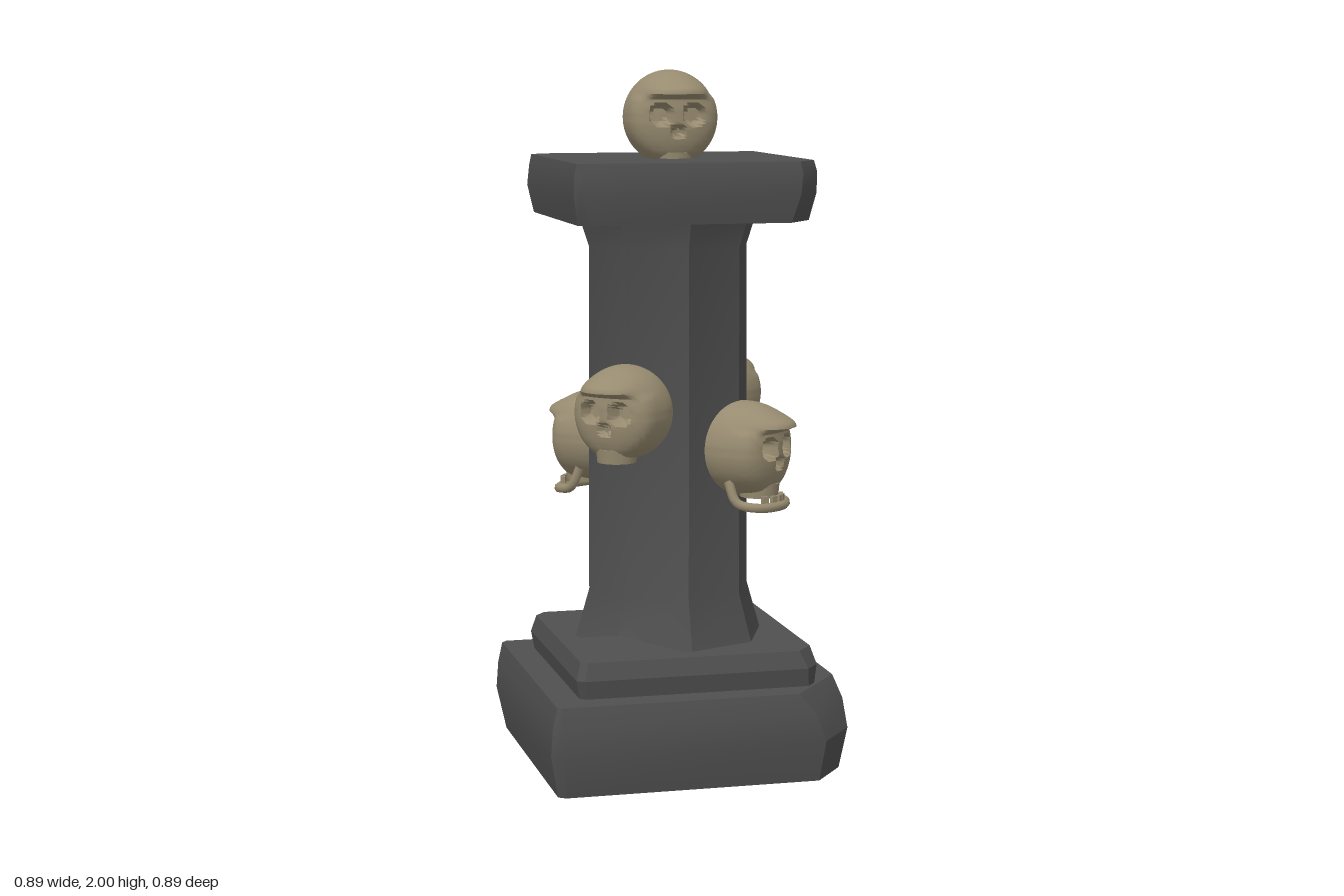
import * as THREE from 'three';
import { toCreasedNormals } from 'three/addons/utils/BufferGeometryUtils.js';

const stone = new THREE.MeshStandardMaterial({ color: 0x4f4f4f });
stone.name = 'dark stone';
const bone = new THREE.MeshStandardMaterial({ color: 0x978b70 });
bone.name = 'old bone';

function add(parent, geometry, material, name) {
  const mesh = new THREE.Mesh(geometry, material);
  mesh.name = name;
  parent.add(mesh);
  return mesh;
}

// Skin a stack of closed loops (each an array of [x, y, z]), with optional end caps
function loft(loops, capped) {
  const n = loops[0].length;
  const pos = loops.flat(2);
  const index = [];
  for (let i = 0; i < loops.length - 1; i++) {
    for (let j = 0; j < n; j++) {
      const k = (j + 1) % n;
      const a = i * n + j, b = i * n + k, c = b + n, d = a + n;
      index.push(a, d, b, d, c, b);
    }
  }
  if (capped) {
    const top = (loops.length - 1) * n;
    for (let j = 1; j < n - 1; j++) {
      index.push(0, j, j + 1, top, top + j + 1, top + j);
    }
  }
  const g = new THREE.BufferGeometry();
  g.setAttribute('position', new THREE.Float32BufferAttribute(pos, 3));
  g.setIndex(index);
  return toCreasedNormals(g, 0.45);
}

// Weathered slab: each level is [y, half width, corner cuts for ++, -+, --, +- in x,z]
function slab(levels) {
  return loft(levels.map(([y, h, cuts]) => {
    const pts = [];
    cuts.forEach((c, k) => {
      for (let [x, z] of [[h, h - c], [h - c * 0.8, h]]) {
        for (let r = 0; r < k; r++) [x, z] = [-z, x];
        pts.push([x, y, z]);
      }
    });
    return pts;
  }), true);
}

// Octagonal shaft with flared ends and a chipped foot
function shaft() {
  const rings = [[0.355, 0.28], [0.5, 0.238], [1.5, 0.235], [1.59, 0.265]];
  return loft(rings.map(([y, r], i) => Array.from({ length: 8 }, (_, j) => {
    const a = j * Math.PI / 4;
    const chip = i === 0 && j === 3 ? 0.045 : 0;
    return [r * Math.cos(a) - 0.006, y + chip, r * Math.sin(a)];
  })), false);
}

// Cranium: a sphere with a flattened face, overhanging brow, sockets and nose hole
function cranium() {
  const g = new THREE.SphereGeometry(1, 64, 48);
  const p = g.attributes.position;
  const dent = (x, y, cx, cy, rx, ry) =>
    1 - THREE.MathUtils.smoothstep(Math.hypot((x - cx) / rx, (y - cy) / ry), 0.7, 1.1);
  for (let i = 0; i < p.count; i++) {
    const dz = p.getZ(i);
    const x = p.getX(i) * 0.131, y = p.getY(i) * 0.135;
    let z = dz * 0.16;
    if (dz > 0) {
      const browFade = 1 - THREE.MathUtils.smoothstep(Math.abs(x), 0.07, 0.12);
      const brow = z + 0.026 * dz * browFade * Math.exp(-(((y - 0.08) / 0.022) ** 2));
      const sockets = dent(Math.abs(x), y, 0.048, 0.008, 0.034, 0.032);
      const nose = dent(x, y, 0, -0.038, 0.018, 0.02);
      const face = 0.117 * dz ** 0.45 - 0.045 * sockets - 0.025 * nose;
      z = THREE.MathUtils.lerp(face, brow, THREE.MathUtils.smoothstep(y, 0.05, 0.068));
    }
    p.setXYZ(i, x, y, z);
  }
  return toCreasedNormals(g, 0.7);
}

const craniumGeometry = cranium();
const teethGeometry = new THREE.CylinderGeometry(0.06, 0.056, 0.04, 16);

// U-shaped jaw bone
const jawCurve = new THREE.CatmullRomCurve3([
  [-0.098, -0.085, 0.0], [-0.1, -0.145, 0.03], [-0.08, -0.158, 0.085], [0, -0.16, 0.115],
  [0.08, -0.158, 0.085], [0.1, -0.145, 0.03], [0.098, -0.085, 0.0],
].map((v) => new THREE.Vector3(...v)));
const jawGeometry = new THREE.TubeGeometry(jawCurve, 32, 0.014, 8);

function skull(name, hasJaw) {
  const g = new THREE.Group();
  g.name = name;
  add(g, craniumGeometry, bone, 'cranium');
  add(g, teethGeometry, bone, 'upperTeeth').position.set(0, -0.117, 0.045);
  if (hasJaw) {
    add(g, jawGeometry, bone, 'jaw');
    // Row of lower teeth standing on the jaw
    for (let i = -2; i <= 2; i++) {
      const tooth = add(g, new THREE.BoxGeometry(0.018, 0.022, 0.012), bone, 'lowerTooth');
      tooth.position.set(i * 0.024, -0.14, 0.112 - 0.005 * i * i);
      tooth.rotation.y = i * 0.25;
    }
  }
  return g;
}

export function createModel() {
  const model = new THREE.Group();
  model.name = 'skullPillar';

  // Stonework
  add(model, slab([
    [0, 0.425, [0.12, 0.02, 0.06, 0.06]],
    [0.12, 0.447, [0.13, 0.03, 0.04, 0.1]],
    [0.2, 0.442, [0.16, 0.02, 0.04, 0.15]],
    [0.257, 0.428, [0.2, 0.01, 0.02, 0.17]],
  ]), stone, 'base');
  add(model, slab([
    [0.25, 0.345, [0.03, 0.02, 0.03, 0.03]],
    [0.31, 0.356, [0.05, 0.02, 0.04, 0.03]],
    [0.36, 0.342, [0.06, 0.02, 0.04, 0.02]],
  ]), stone, 'plinth');
  add(model, shaft(), stone, 'shaft');
  add(model, slab([
    [1.58, 0.342, [0.1, 0.03, 0.05, 0.16]],
    [1.66, 0.357, [0.09, 0.02, 0.04, 0.12]],
    [1.72, 0.355, [0.08, 0.02, 0.06, 0.05]],
    [1.75, 0.348, [0.08, 0.01, 0.05, 0.01]],
  ]), stone, 'capital');

  // Skulls: one on top, four on the diagonals, alternating with and without jaws
  const topSkull = skull('topSkull', false);
  topSkull.position.set(-0.004, 1.865, 0);
  model.add(topSkull);
  for (let i = 0; i < 4; i++) {
    const a = Math.PI / 4 + i * Math.PI / 2;
    const hasJaw = i % 2 === 0;
    const s = skull('sideSkull', hasJaw);
    s.position.set(0.25 * Math.sin(a), hasJaw ? 0.927 : 1.042, 0.25 * Math.cos(a));
    s.rotation.y = a;
    model.add(s);
  }
  return model;
}
